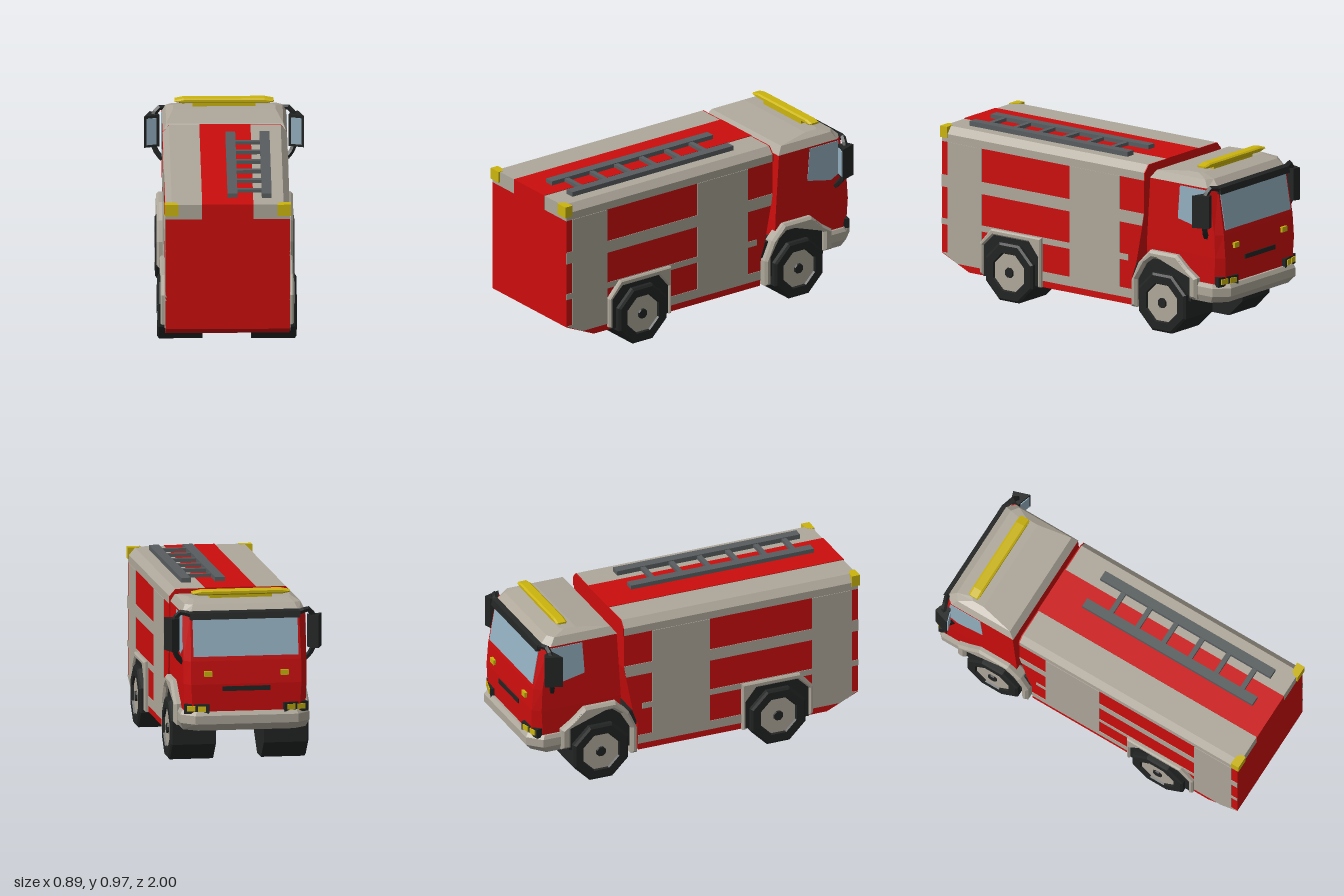
import * as THREE from 'three';

const mat = (name, color, side = THREE.FrontSide) => {
  const m = new THREE.MeshStandardMaterial({ color, side });
  m.name = name;
  return m;
};

export function createModel() {
  const red = mat('fire red', 0xcc0d0d);
  const beige = mat('warm grey', 0xaea79a);
  const black = mat('rubber black', 0x222424);
  const grey = mat('ladder grey', 0x585d5f);
  const yellow = mat('lamp yellow', 0xcbb40e);
  const glass = mat('glass', 0x94b0c0, THREE.DoubleSide);

  const truck = new THREE.Group();
  truck.name = 'fireTruck';
  const add = (name, geo, m, parent = truck) => {
    if (geo.index) geo = geo.toNonIndexed();
    geo.computeVertexNormals();
    const mesh = new THREE.Mesh(geo, m);
    mesh.name = name;
    parent.add(mesh);
    return mesh;
  };
  const box = (name, m, x0, x1, y0, y1, z0, z1) => add(name,
    new THREE.BoxGeometry(x1 - x0, y1 - y0, z1 - z0)
      .translate((x0 + x1) / 2, (y0 + y1) / 2, (z0 + z1) / 2), m);
  const shapeOf = pts => new THREE.Shape(pts.map(p => new THREE.Vector2(...p)));

  // Side profile of [z, y] points, extruded across x
  const profile = (name, m, pts, x0, x1, bevel = 0) => add(name,
    new THREE.ExtrudeGeometry(shapeOf(pts), {
      depth: x1 - x0 - 2 * bevel, bevelEnabled: bevel > 0, bevelSegments: 1,
      bevelThickness: bevel, bevelSize: bevel, bevelOffset: -bevel,
    }).translate(0, 0, bevel).rotateY(-Math.PI / 2).translate(x1, 0, 0), m);
  const profilePair = (name, m, pts, x0, x1, bevel) => {
    profile(name + 'Left', m, pts, x0, x1, bevel);
    profile(name + 'Right', m, pts, -x1, -x0, bevel);
  };
  const rect = (z0, z1, y0, y1) => [[z0, y0], [z1, y0], [z1, y1], [z0, y1]];

  // Plan outline of [x, z] points, extruded up y
  const plan = (name, m, pts, y0, y1) => add(name,
    new THREE.ExtrudeGeometry(shapeOf(pts.map(([x, z]) => [x, -z])), { depth: y1 - y0, bevelEnabled: false })
      .rotateX(-Math.PI / 2).translate(0, y0, 0), m);

  // Loft of six-sided rings: y, half width, rear z, corner z, front half width, front z
  const loft = (name, m, rings) => {
    const loops = rings.map(([y, hw, zr, zc, fw, zf]) =>
      [[hw, y, zr], [hw, y, zc], [fw, y, zf], [-fw, y, zf], [-hw, y, zc], [-hw, y, zr]]);
    const v = [], tri = (a, b, c) => v.push(...a, ...b, ...c);
    for (let k = 0; k < loops.length - 1; k++) {
      for (let i = 0; i < 6; i++) {
        const j = (i + 1) % 6, a = loops[k], b = loops[k + 1];
        tri(a[i], a[j], b[j]);
        tri(a[i], b[j], b[i]);
      }
    }
    const lo = loops[0], hi = loops[loops.length - 1];
    for (let i = 1; i < 5; i++) {
      tri(hi[0], hi[i], hi[i + 1]);
      tri(lo[0], lo[i + 1], lo[i]);
    }
    const g = new THREE.BufferGeometry();
    g.setAttribute('position', new THREE.Float32BufferAttribute(v, 3));
    return add(name, g, m);
  };

  // Equipment body with chamfered roof cap
  profile('body', red, [[0.99, 0.835], [0.99, 0.195], [0.8, 0.11], [-0.345, 0.11], [-0.35, 0.28],
    [-0.375, 0.35], [-0.43, 0.63], [-0.43, 0.835]], -0.345, 0.345);
  add('bodyRoof', new THREE.ExtrudeGeometry(shapeOf([[-0.345, 0.835], [0.345, 0.835], [0.345, 0.88],
    [0.31, 0.92], [-0.31, 0.92], [-0.345, 0.88]]), { depth: 1.42, bevelEnabled: false })
    .translate(0, 0, -0.43), beige);
  add('bodyRoofFront', new THREE.ExtrudeGeometry(shapeOf([[-0.345, 0.835], [0.345, 0.835], [0.345, 0.88],
    [0.31, 0.92], [-0.31, 0.92], [-0.345, 0.88]]), { depth: 0.006, bevelEnabled: false })
    .translate(0, 0, -0.436), red);
  box('roofStripe', red, -0.142, 0.142, 0.919, 0.923, -0.436, 0.993);
  box('rearStripe', red, -0.142, 0.142, 0.835, 0.92, 0.985, 0.993);

  // Side shutters and stripes
  [
    ['rearShutter', rect(0.71, 0.95, 0.2, 0.835)],
    ['middleShutter', rect(-0.26, 0.09, 0.2, 0.835)],
    ['upperStripe', [[0.99, 0.575], [0.99, 0.645], [-0.43, 0.645], [-0.418, 0.575]]],
    ['lowerStripe', rect(-0.32, 0.99, 0.36, 0.395)],
    ['sillStripe', [[0.988, 0.2], [0.88, 0.147], [-0.345, 0.147], [-0.347, 0.2]]],
  ].forEach(([name, pts]) => profilePair(name, beige, pts, 0.34, 0.348));

  // Rear corner lamps
  for (const s of [1, -1]) {
    plan('rearCornerLamp', yellow, [[0.35, 0.95], [0.35, 1], [0.275, 1], [0.275, 0.975], [0.295, 0.955]]
      .map(([x, z]) => [x * s, z]), 0.857, 0.922);
  }

  // Roof ladder
  for (const x of [0, 0.19]) box('ladderRail', grey, x, x + 0.055, 0.92, 0.947, -0.235, 0.875);
  for (let i = 0; i < 6; i++) {
    const z = -0.08 + i * 0.171;
    box('ladderRung', grey, 0.05, 0.195, 0.924, 0.943, z - 0.014, z + 0.014);
  }

  // Cab shell and roof
  loft('cab', red, [
    [0.3, 0.34, -0.45, -0.92, 0.3, -0.97],
    [0.47, 0.345, -0.45, -0.93, 0.31, -0.975],
    [0.6, 0.345, -0.458, -0.925, 0.31, -0.965],
    [0.86, 0.345, -0.475, -0.885, 0.305, -0.92],
  ]);
  loft('cabRoof', beige, [
    [0.86, 0.345, -0.472, -0.875, 0.305, -0.922],
    [0.905, 0.325, -0.505, -0.845, 0.285, -0.875],
    [0.925, 0.285, -0.7, -0.77, 0.265, -0.79],
  ]);

  // Windscreen, visor and side windows
  const frontZ = y => -0.965 + (y - 0.6) * 0.173;
  profile('windscreen', glass, [[frontZ(0.625) - 0.004, 0.625], [frontZ(0.845) - 0.004, 0.845],
    [frontZ(0.845) + 0.004, 0.845], [frontZ(0.625) + 0.004, 0.625]], -0.295, 0.295);
  profile('visor', black, [[-0.915, 0.875], [-0.94, 0.865], [-0.948, 0.83], [-0.92, 0.83]], -0.31, 0.31);
  profilePair('sideWindow', glass, [[-0.685, 0.85], [-0.67, 0.66], [-0.83, 0.625], [-0.9, 0.66],
    [-0.882, 0.85]], 0.34, 0.348);

  // Front wheel arches and bumper
  profilePair('frontFender', beige, [[-0.36, 0.11], [-0.36, 0.26], [-0.41, 0.37], [-0.49, 0.452],
    [-0.68, 0.452], [-0.755, 0.385], [-0.82, 0.34], [-0.82, 0.22], [-0.765, 0.22], [-0.765, 0.335],
    [-0.7, 0.408], [-0.51, 0.408], [-0.46, 0.37], [-0.4, 0.27], [-0.4, 0.11]], 0.3, 0.38, 0.014);
  profilePair('frontWheelWell', black, [[-0.395, 0.15], [-0.395, 0.28], [-0.46, 0.38], [-0.51, 0.415],
    [-0.7, 0.415], [-0.77, 0.34], [-0.77, 0.2]], 0.13, 0.355);
  box('underbody', black, -0.3, 0.3, 0.2, 0.34, -0.8, -0.36);
  box('cabMount', black, -0.34, 0.34, 0.27, 0.36, -0.46, -0.352);
  loft('bumper', beige, [
    [0.21, 0.345, -0.765, -0.9, 0.27, -0.965],
    [0.25, 0.362, -0.765, -0.925, 0.29, -1],
    [0.297, 0.362, -0.765, -0.925, 0.29, -1],
    [0.318, 0.352, -0.765, -0.915, 0.28, -0.985],
  ]);

  // Rear wheel arches
  profilePair('rearFender', beige, [[0.71, 0.13], [0.71, 0.3], [0.63, 0.392], [0.28, 0.392], [0.28, 0.11],
    [0.3, 0.11], [0.3, 0.28], [0.365, 0.36], [0.615, 0.36], [0.685, 0.29], [0.685, 0.12]], 0.33, 0.37, 0.008);
  profilePair('rearWheelWell', black, [[0.687, 0.112], [0.687, 0.295], [0.617, 0.364], [0.363, 0.364],
    [0.298, 0.283], [0.298, 0.112]], 0.3, 0.357);

  // Eight-sided wheels
  const turned = pts => new THREE.LatheGeometry(pts.map(p => new THREE.Vector2(...p)), 8, Math.PI / 8)
    .rotateZ(-Math.PI / 2);
  for (const z of [0.49, -0.585]) {
    for (const s of [1, -1]) {
      const wheel = new THREE.Group();
      wheel.name = (z > 0 ? 'rear' : 'front') + 'Wheel';
      wheel.position.set(0, 0.165, z);
      wheel.rotation.y = s > 0 ? 0 : Math.PI;
      truck.add(wheel);
      add('tyre', turned([[0, 0.135], [0.1786, 0.135], [0.1786, 0.378], [0.165, 0.387], [0.118, 0.387],
        [0.11, 0.37], [0, 0.37]]), black, wheel);
      add('rim', turned([[0.112, 0.36], [0.112, 0.376], [0, 0.376]]), beige, wheel);
      add('hub', turned([[0.032, 0.37], [0.028, 0.386], [0, 0.386]]), black, wheel);
    }
  }

  // Front lamps and grille
  box('grille', black, -0.135, 0.135, 0.432, 0.458, -0.98, -0.965);
  for (const s of [1, -1]) {
    box('indicator', yellow, s * 0.215 - 0.022, s * 0.215 + 0.022, 0.515, 0.545, -0.985, -0.96);
    const lamp = new THREE.Group();
    lamp.name = 'headlight';
    lamp.position.set(s * 0.275, 0.333, -0.956);
    lamp.rotation.y = -s * 0.25;
    truck.add(lamp);
    add('lampHousing', new THREE.BoxGeometry(0.14, 0.055, 0.04), black, lamp);
    for (const x of [-0.03, 0.03]) {
      add('lampLens', new THREE.BoxGeometry(0.045, 0.03, 0.008).translate(x, 0.002, -0.022), yellow, lamp);
    }
  }

  // Wing mirrors on bent arms
  for (const s of [1, -1]) {
    const flip = pts => pts.map(([x, z]) => [x * s, z]);
    plan('mirrorHousing', black, flip([[0.443, -0.845], [0.358, -0.872], [0.372, -0.925], [0.412, -0.938]]),
      0.652, 0.836);
    plan('mirrorGlass', glass, flip([[0.43, -0.844], [0.373, -0.862], [0.373, -0.869], [0.43, -0.851]]),
      0.667, 0.82);
    for (const pts of [
      [[0.3, 0.855, -0.925], [0.36, 0.868, -0.905], [0.395, 0.82, -0.895]],
      [[0.395, 0.67, -0.895], [0.375, 0.62, -0.88], [0.34, 0.58, -0.865]],
    ]) {
      const path = new THREE.CatmullRomCurve3(pts.map(([x, y, z]) => new THREE.Vector3(x * s, y, z)));
      add('mirrorArm', new THREE.TubeGeometry(path, 4, 0.016, 5), black);
    }
  }

  // Roof light bar
  box('lightBarMount', yellow, -0.175, 0.175, 0.918, 0.945, -0.79, -0.75);
  const bar = add('lightBar', new THREE.ExtrudeGeometry(shapeOf([[-0.235, 0.942], [0.235, 0.942], [0.275, 0.95],
    [0.275, 0.96], [0.225, 0.97], [-0.225, 0.97], [-0.275, 0.96], [-0.275, 0.95]]), {
    depth: 0.044, bevelThickness: 0.01, bevelSize: 0.007, bevelOffset: -0.007, bevelSegments: 1,
  }), yellow);
  bar.position.z = -0.797;

  return truck;
}
